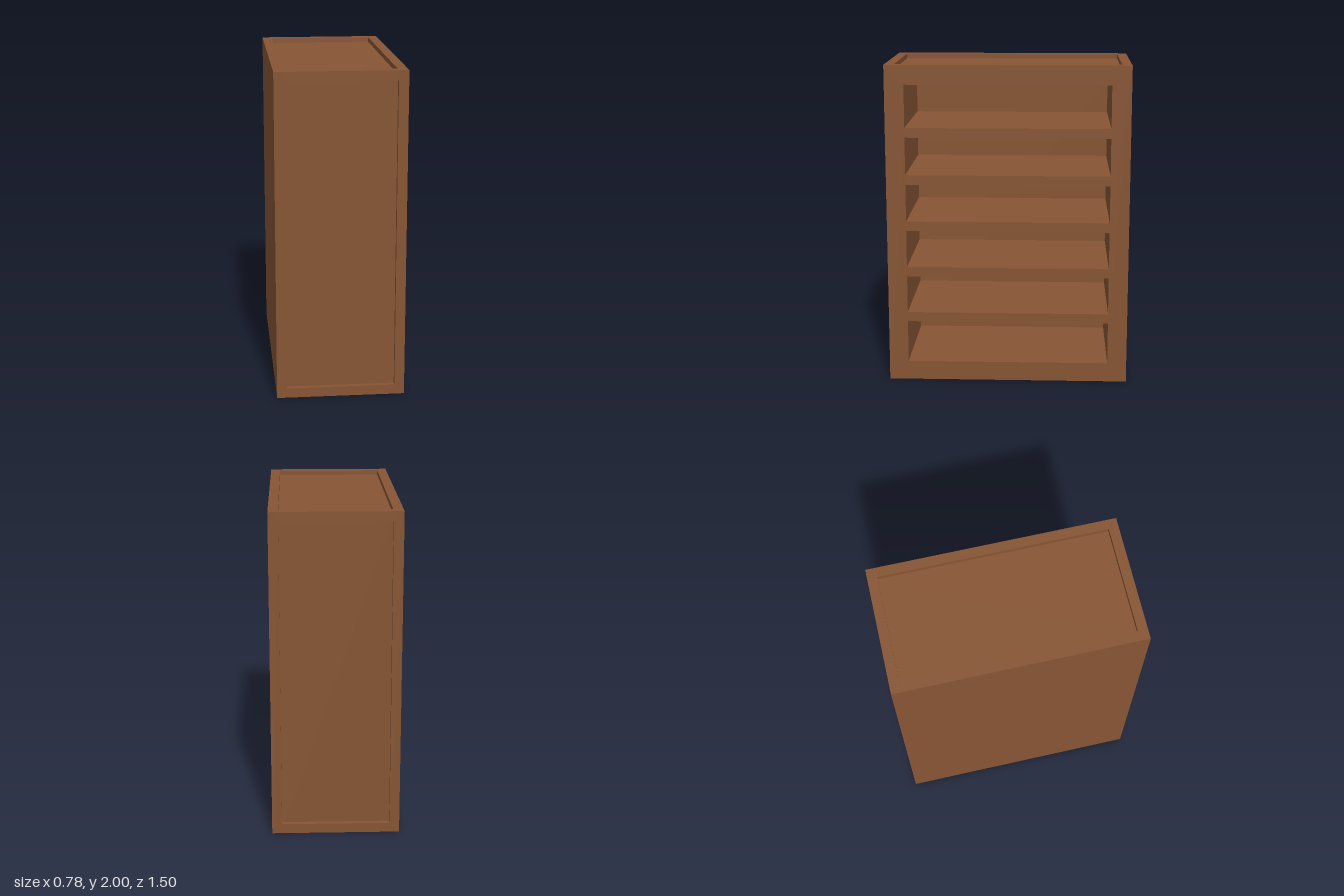
import * as THREE from 'three';

const W = 0.78, H = 2, D = 1.5;   // cabinet size
const T = 0.06;                   // board thickness
const RECESS = 0.03;              // depth of the sunken panels
const SHELVES = 5, PITCH = 0.293; // shelf boards between the six compartments
const SIDE = 0.63, LOW = 0.12, HIGH = 1.88; // limits of the open compartments

export function createModel() {
  const group = new THREE.Group();
  const wood = new THREE.MeshStandardMaterial({ color: 0x875534 });

  const add = (name, geometry, x, y, z) => {
    const mesh = new THREE.Mesh(geometry, wood);
    mesh.name = name;
    mesh.position.set(x, y, z);
    group.add(mesh);
  };

  const rect = (Type, x0, x1, y0, y1) => new Type([
    new THREE.Vector2(x0, y0), new THREE.Vector2(x1, y0),
    new THREE.Vector2(x1, y1), new THREE.Vector2(x0, y1),
  ]);

  // Upright slab pierced by the compartments, running along x
  const piercedSlab = (halfDepth, height, thickness) => {
    const shape = rect(THREE.Shape, -halfDepth, halfDepth, 0, height);
    for (let i = 0; i <= SHELVES; i++) {
      const divider = (n) => H / 2 + (n - (SHELVES - 1) / 2) * PITCH;
      const bottom = i === 0 ? LOW : divider(i - 1) + T / 2;
      const top = i === SHELVES ? HIGH : divider(i) - T / 2;
      shape.holes.push(rect(THREE.Path, -SIDE, SIDE, bottom, top));
    }
    return new THREE.ExtrudeGeometry(shape, { depth: thickness, bevelEnabled: false })
      .rotateY(Math.PI / 2);
  };

  const inner = W / 2 - T;

  // Open face frame, the shelf core behind it and the closed back board
  add('faceFrame', piercedSlab(D / 2, H, T), inner, 0, 0);
  add('shelfCore', piercedSlab(D / 2 - RECESS, H - RECESS, 2 * inner), -inner, 0, 0);
  add('backBoard', new THREE.BoxGeometry(T, H, D), -inner - T / 2, H / 2, 0);

  // Rails that frame the sunken end panels and the sunken top
  for (const s of [1, -1]) {
    add('topRail', new THREE.BoxGeometry(2 * inner, T, T), 0, H - T / 2, s * (D / 2 - T / 2));
    add('bottomRail', new THREE.BoxGeometry(2 * inner, T, RECESS), 0, T / 2, s * (D / 2 - RECESS / 2));
  }

  return group;
}
